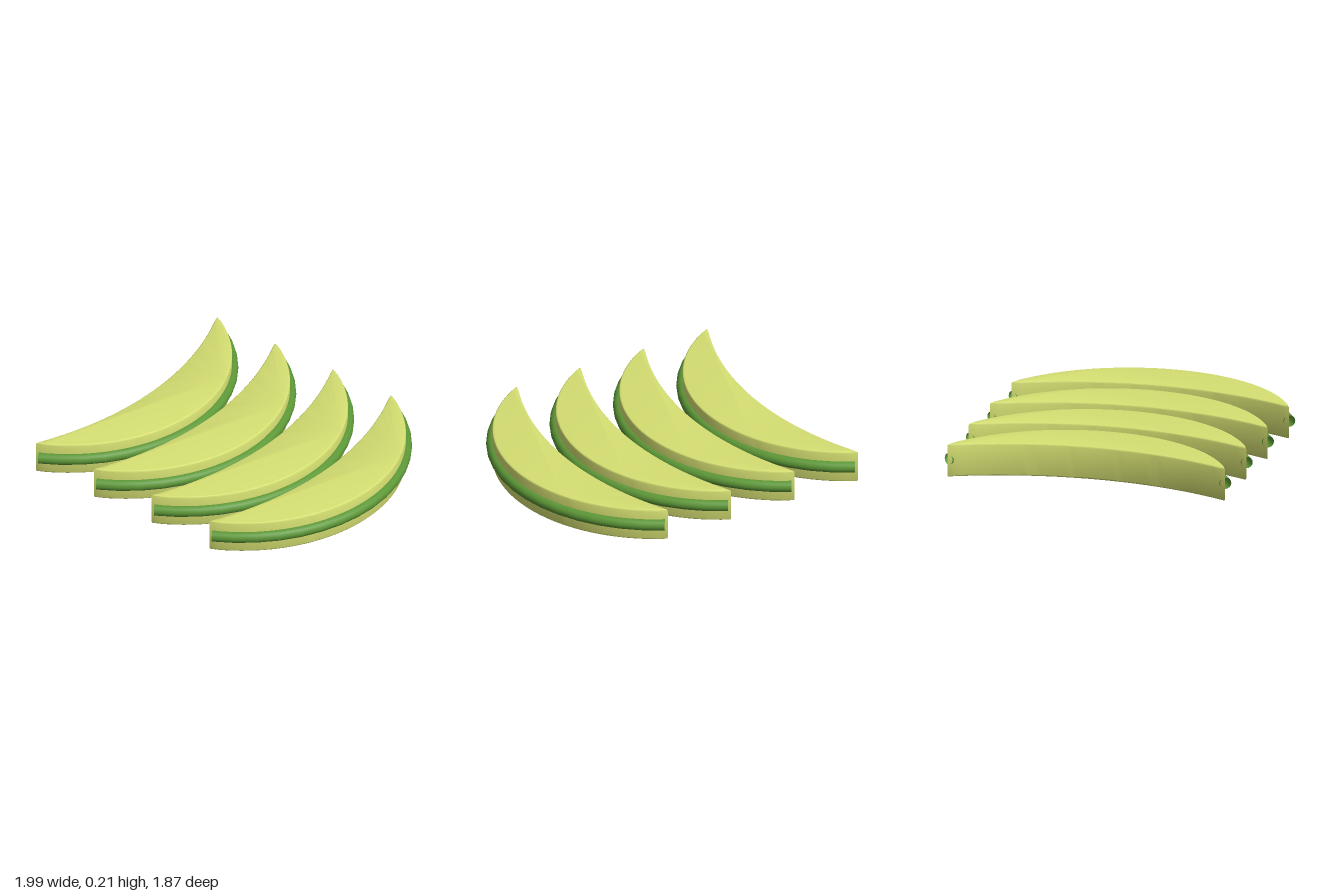
import * as THREE from 'three';
import { toCreasedNormals } from 'three/addons/utils/BufferGeometryUtils.js';

// Points on a circular arc from (tipX, -tipZ) through (apexX, 0) to (tipX, tipZ)
function arcPoints(tipX, tipZ, apexX, n) {
  const sag = apexX - tipX;
  const r = (sag * sag + tipZ * tipZ) / (2 * sag);
  const half = Math.asin(tipZ / r);
  return Array.from({ length: n + 1 }, (_, i) => {
    const a = -half + (2 * half * i) / n;
    return new THREE.Vector2(apexX - r + r * Math.cos(a), r * Math.sin(a));
  });
}

export function createModel() {
  const fleshMat = new THREE.MeshStandardMaterial({ color: 0xd6e072 });
  fleshMat.name = 'pale green flesh';
  const peelMat = new THREE.MeshStandardMaterial({ color: 0x5d9837, side: THREE.DoubleSide });
  peelMat.name = 'green peel';

  const height = 0.213, bevel = 0.01, midY = 0.109;

  // Crescent slab with slightly rounded rims
  const outer = arcPoints(-0.987, 0.897, -0.447, 48);
  const inner = arcPoints(-0.987, 0.897, -0.785, 48).reverse();
  const crescent = new THREE.Shape([...outer, ...inner.slice(1, -1)]);
  let fleshGeo = new THREE.ExtrudeGeometry(crescent, {
    depth: height - 2 * bevel, bevelEnabled: true,
    bevelSize: bevel, bevelThickness: bevel, bevelSegments: 3,
  });
  fleshGeo.rotateX(-Math.PI / 2).translate(0, bevel, 0);
  fleshGeo = toCreasedNormals(fleshGeo, 0.6);

  // Peel bead running along the outer edge
  const path = new THREE.CatmullRomCurve3(
    arcPoints(-0.976, 0.906, -0.436, 14).map((p) => new THREE.Vector3(p.x, midY, p.y)));
  const peelGeo = new THREE.TubeGeometry(path, 16, 0.037, 16, false);

  // Row of four identical slices
  const model = new THREE.Group();
  model.name = 'slices';
  for (let i = 0; i < 4; i++) {
    const slice = new THREE.Group();
    slice.name = `slice${i + 1}`;
    const flesh = new THREE.Mesh(fleshGeo, fleshMat);
    flesh.name = 'flesh';
    const peel = new THREE.Mesh(peelGeo, peelMat);
    peel.name = 'peel';
    slice.add(flesh, peel);
    slice.position.x = i * 0.465;
    model.add(slice);
  }
  return model;
}
